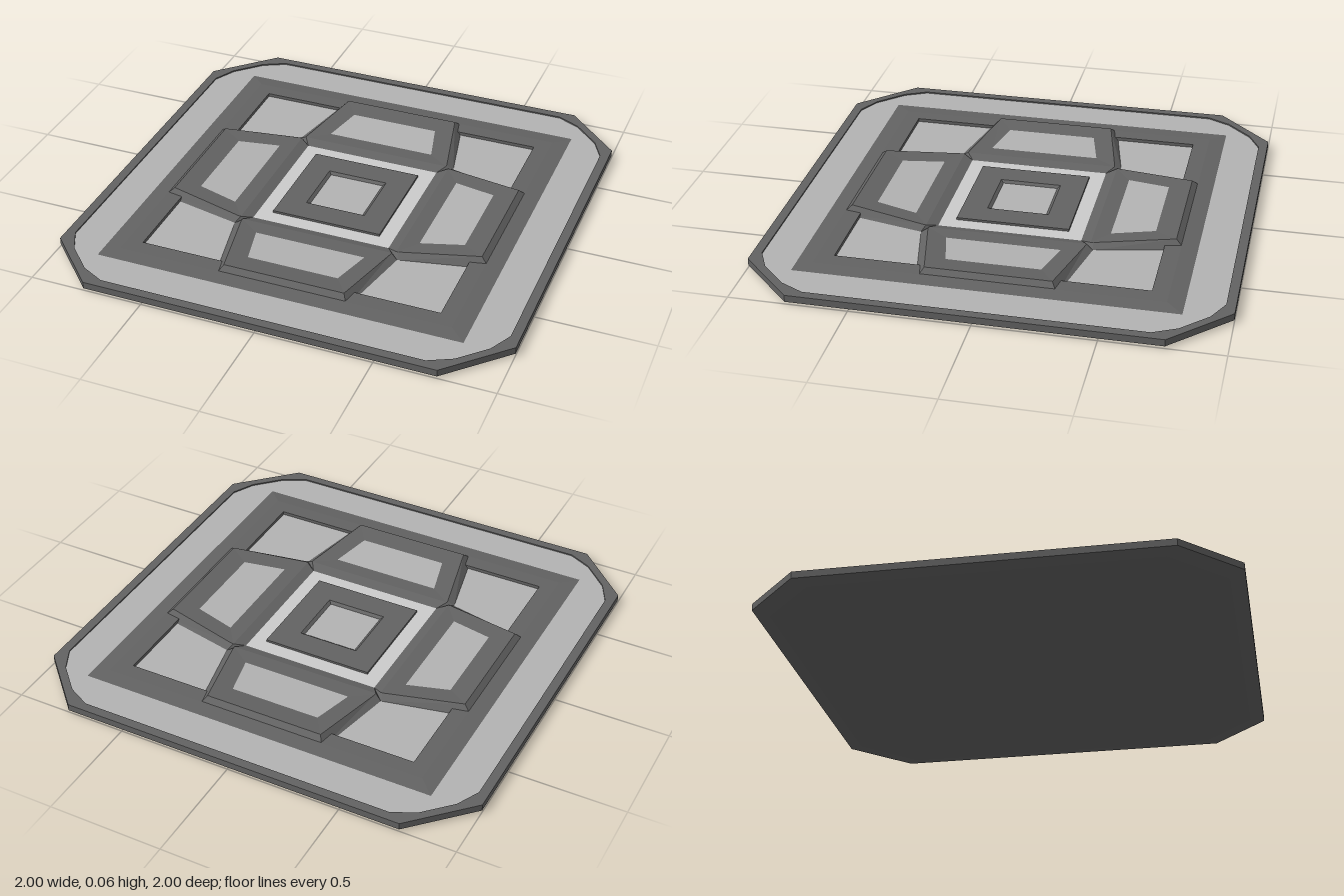
import * as THREE from 'three';

const mat = (color) => new THREE.MeshStandardMaterial({ color, flatShading: true });

// Skins consecutive rings of [x, y, z] points (counter-clockwise from above).
function loft(rings, { capStart = false, capEnd = false } = {}) {
  const pos = [];
  const tri = (a, b, c) => pos.push(...a, ...b, ...c);
  for (let r = 0; r + 1 < rings.length; r++) {
    const a = rings[r], b = rings[r + 1], n = a.length;
    for (let i = 0; i < n; i++) {
      const j = (i + 1) % n;
      tri(a[i], a[j], b[j]);
      tri(a[i], b[j], b[i]);
    }
  }
  const first = rings[0], last = rings[rings.length - 1];
  for (let i = 1; i + 1 < first.length; i++) {
    if (capStart) tri(first[0], first[i + 1], first[i]);
    if (capEnd) tri(last[0], last[i], last[i + 1]);
  }
  const g = new THREE.BufferGeometry();
  g.setAttribute('position', new THREE.Float32BufferAttribute(pos, 3));
  g.computeVertexNormals();
  return g;
}

// Repeats one corner's points around the four quarters.
function quarterRing(corner, y) {
  const ring = [];
  let pts = corner.map(([x, z]) => [x, -z]);
  for (let q = 0; q < 4; q++) {
    ring.push(...pts.map(([x, z]) => [x, y, z]));
    pts = pts.map(([x, z]) => [z, -x]);
  }
  return ring;
}
const square = (r, y) => quarterRing([[r, r]], y);

export function createModel() {
  const group = new THREE.Group();
  const dark = mat(0x626262), light = mat(0xb2b2b2), pale = mat(0xcccccc);
  const add = (name, geometry, material, parent = group) => {
    const mesh = new THREE.Mesh(geometry, material);
    mesh.name = name;
    parent.add(mesh);
    return mesh;
  };

  // Chamfered slab with a raised rim
  const outer = [[1, 0.76], [0.92, 0.84], [0.84, 0.92], [0.76, 1]];
  const inner = [[0.96, 0.7], [0.91, 0.8], [0.8, 0.91], [0.7, 0.96]];
  const shrunk = outer.map(([x, z]) => [x * 0.94, z * 0.94]);
  add('slabRim', loft([
    quarterRing(shrunk, 0), quarterRing(outer, 0.01), quarterRing(outer, 0.04),
    quarterRing(inner, 0.04), quarterRing(inner, 0.034),
  ], { capStart: true }), dark);

  // Light band between the rim and the square frame
  const bandInner = quarterRing([[0.8, 0.8], [0.8, 0.8], [0.8, 0.8], [0.8, 0.8]], 0.034);
  add('outerBand', loft([quarterRing(inner, 0.034), bandInner]), light);

  // Bevelled square frame around the sunken floor
  add('squareFrame', loft([
    square(0.8, 0.034), square(0.73, 0.04), square(0.66, 0.04), square(0.66, 0.025),
  ]), dark);
  add('cornerFloor', loft([square(0.66, 0.025), square(0.31, 0.025)]), light);

  // Four tilted petals, highest at their outer edge
  const slope = (z) => 0.044 + (z - 0.36) * 0.047;
  const mirrored = (half) => [
    ...half.map(([x, y, z]) => [-x, y, z]),
    ...[...half].reverse(),
  ];
  const base = mirrored([[0.31, 0.03, 0.31], [0.37, 0.025, 0.37], [0.29, 0.025, 0.745]]);
  const top = mirrored([[0.34, slope(0.355), 0.355], [0.34, slope(0.365), 0.365], [0.265, slope(0.705), 0.705]]);
  const inset = mirrored([
    [0.245, 0.425], [0.244, 0.43], [0.2, 0.61],
  ].map(([x, z]) => [x, slope(z) - 0.005, z]));
  for (let k = 0; k < 4; k++) {
    const petal = new THREE.Group();
    petal.name = 'petal' + (k + 1);
    petal.rotation.y = k * Math.PI / 2;
    add('petalFrame', loft([base, top, inset]), dark, petal);
    add('petalPanel', loft([inset], { capEnd: true }), light, petal);
    group.add(petal);
  }

  // Pale centre ring and the hollowed centre block
  add('centreRing', loft([square(0.31, 0.03), square(0.245, 0.03)]), pale);
  add('centreBlock', loft([
    square(0.245, 0.03), square(0.245, 0.04), square(0.135, 0.04), square(0.122, 0.03),
  ]), dark);
  add('centrePanel', loft([square(0.122, 0.03)], { capEnd: true }), light);

  return group;
}
